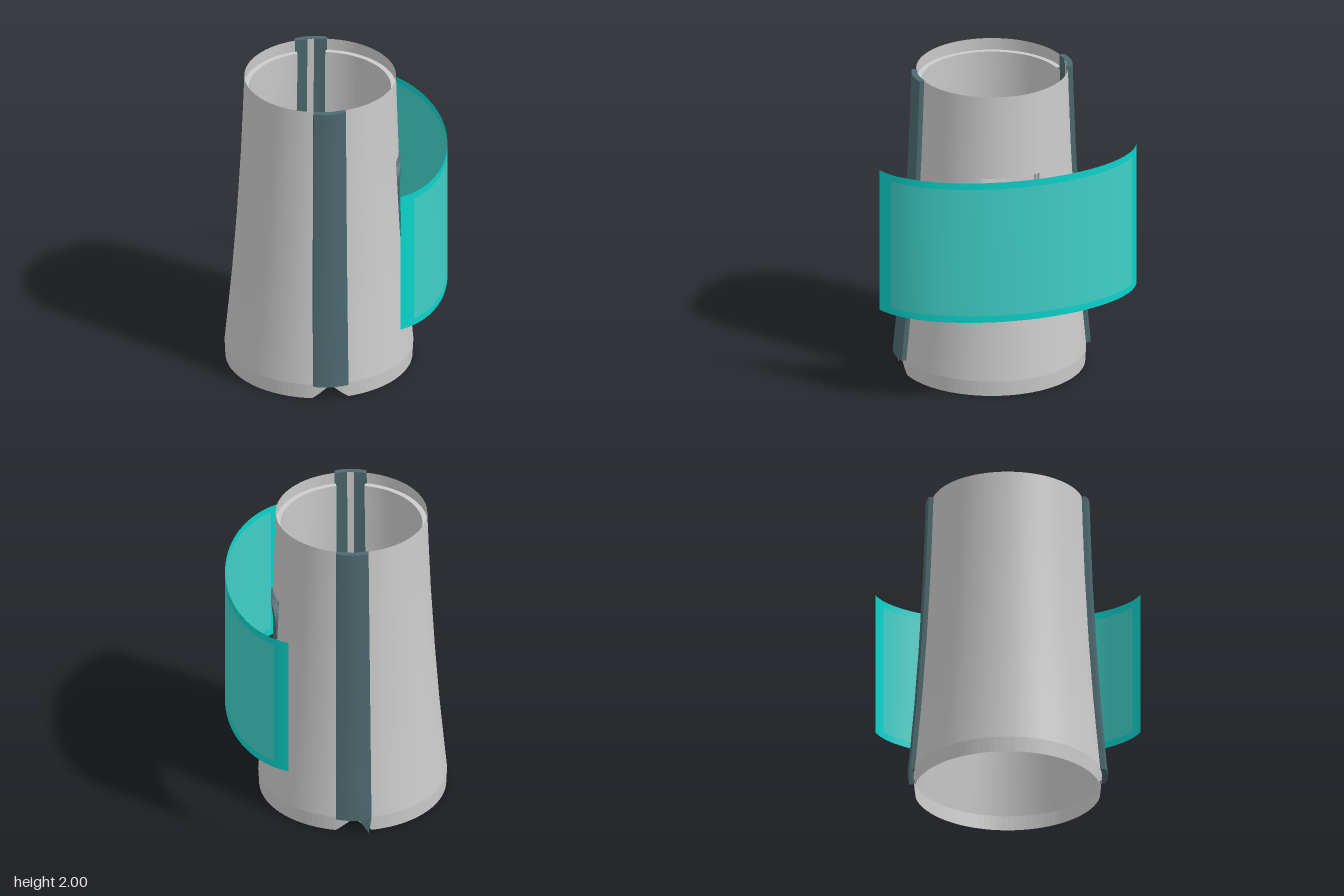
import * as THREE from 'three';
import { toCreasedNormals } from 'three/addons/utils/BufferGeometryUtils.js';

const SEG = 96; // steps around the sleeve
const STEP = (Math.PI * 2) / SEG;
const ROWS = [0.1, 0.35, 0.6, 0.75, 1, 1.25, 1.45, 1.75, 2];

// Outer radius and axis offset of the tapering sleeve
const KEYS = [[0, 0.59], [0.1, 0.595], [0.35, 0.572], [0.6, 0.55], [1, 0.522], [1.5, 0.495], [2, 0.478]];
function radius(y) {
  for (let i = 1; i < KEYS.length; i++) {
    const [y0, r0] = KEYS[i - 1], [y1, r1] = KEYS[i];
    if (y <= y1) return r0 + ((r1 - r0) * (y - y0)) / (y1 - y0);
  }
  return 0.478;
}
const axisX = (y) => -0.105 + 0.004 * y;
const onSleeve = (a, y, offset = 0) => {
  const r = radius(y) + offset;
  return [axisX(y) + r * Math.sin(a), y, r * Math.cos(a)];
};

// Grid surface from a point rule; cells can be left out
function grid(name, nu, nv, point, color = 0xcccccc, skip = () => false, crease = 0.6) {
  const pos = [], index = [];
  for (let j = 0; j <= nv; j++) for (let i = 0; i <= nu; i++) pos.push(...point(i, j));
  for (let j = 0; j < nv; j++) for (let i = 0; i < nu; i++) {
    if (skip(i, j)) continue;
    const a = j * (nu + 1) + i, b = a + nu + 1;
    index.push(a, a + 1, b + 1, a, b + 1, b);
  }
  const geo = new THREE.BufferGeometry();
  geo.setAttribute('position', new THREE.Float32BufferAttribute(pos, 3));
  geo.setIndex(index);
  return mesh(name, toCreasedNormals(geo, crease), color);
}

function mesh(name, geo, color) {
  const m = new THREE.Mesh(geo, new THREE.MeshStandardMaterial({ color, side: THREE.DoubleSide }));
  m.name = name;
  return m;
}

// Stadium outline for the side fitting
function stadium(PathType, w, h) {
  const p = new PathType();
  p.absarc(0, h - w, w, 0, Math.PI, false);
  p.absarc(0, w - h, w, Math.PI, Math.PI * 2, false);
  p.closePath();
  return p;
}

export function createModel() {
  const model = new THREE.Group();
  const SLATE = 0x4d6a70;

  // Side opening, in grid cells
  const inOpening = (i, j) => Math.abs(i + 0.5 - SEG / 4) < 6 && j >= 3 && j < 6;
  // Channels behind the two strips
  const inChannel = (i) => {
    const k = (i + 0.5) % (SEG / 2);
    return k < 3 || k > SEG / 2 - 3;
  };

  model.add(grid('outerSleeve', SEG, ROWS.length - 1,
    (i, j) => onSleeve(i * STEP, ROWS[j]), 0xcccccc, inOpening));

  // Bottom band with a pointed notch under each strip
  model.add(grid('bottomBand', SEG, 1, (i, j) => {
    const a = i * STEP;
    const p = onSleeve(a, j ? 0.1 : 0);
    if (!j) p[1] = Math.max(0, 0.095 * (1 - Math.abs(0.59 * Math.sin(a)) / 0.11));
    return p;
  }, 0xcccccc, undefined, 0.03));

  // Liner, ending in a ledge just under the top edge
  const linerRows = [...ROWS.slice(0, 8), 1.92, 1.92];
  model.add(grid('liner', SEG, linerRows.length - 1,
    (i, j) => onSleeve(i * STEP, linerRows[j], j === linerRows.length - 1 ? 0 : -0.033),
    0xcccccc, (i, j) => inOpening(i, j) || inChannel(i)));

  // Raised strips down front and back
  const stripRows = [0.1, ...ROWS, 2];
  const section = [[-1, 0.03], [-0.5, 0.036], [0, 0.038], [0.5, 0.036], [1, 0.03], [1, -0.004], [0, 0.003], [-1, -0.004], [-1, 0.03]];
  for (const side of [1, -1]) {
    model.add(grid(side > 0 ? 'frontStrip' : 'backStrip', section.length - 1, stripRows.length - 1, (i, j) => {
      const y = stripRows[j], r = radius(y);
      if (j === 0 || j === stripRows.length - 1) return [axisX(y), y, side * (r + 0.012)];
      const x = section[i][0] * (0.112 - 0.005 * y);
      return [axisX(y) + x, y, side * (Math.sqrt(r * r - x * x) + section[i][1])];
    }, SLATE, undefined, 0.4));
  }

  // Small point hanging from the back strip
  const spike = new THREE.Shape([[-0.215, 0.11], [-0.2, 0], [-0.13, 0.11]].map((p) => new THREE.Vector2(...p)));
  const spikeGeo = new THREE.ExtrudeGeometry(spike, { depth: 0.025, bevelEnabled: false });
  spikeGeo.translate(0, 0, -0.62);
  model.add(mesh('stripPoint', spikeGeo, SLATE));

  // Recess filling the side opening: rim, floor edge, floor centre
  const half = 6 * STEP;
  const rim = [];
  for (let k = 0; k < 12; k++) rim.push([-half + k * STEP, 0.75]);
  for (const y of [0.75, 1, 1.25]) rim.push([half, y]);
  for (let k = 0; k < 12; k++) rim.push([half - k * STEP, 1.45]);
  for (const y of [1.45, 1.25, 1, 0.75]) rim.push([-half, y]);
  model.add(grid('sideRecess', rim.length - 1, 2, (i, j) => {
    const p = onSleeve(Math.PI / 2 + rim[i][0], rim[i][1]);
    if (j === 1) return [0.29, 1.1 + (p[1] - 1.1) * 0.92, p[2] * 0.92];
    return j ? [0.32, 1.1, 0] : p;
  }));

  // Curved fitting ring in the recess
  const ring = stadium(THREE.Shape, 0.17, 0.31);
  ring.holes.push(stadium(THREE.Path, 0.12, 0.26));
  const ringGeo = new THREE.ExtrudeGeometry(ring, { depth: 0.035, bevelEnabled: false, curveSegments: 16 });
  ringGeo.rotateY(Math.PI / 2);
  ringGeo.translate(0.375, 1.1, 0);
  const rp = ringGeo.attributes.position;
  for (let i = 0; i < rp.count; i++) rp.setX(i, rp.getX(i) - rp.getZ(i) ** 2);
  model.add(mesh('sideFitting', toCreasedNormals(ringGeo, 0.6), SLATE));

  // Curved floating panel: centre sheet and a brighter border
  const END = 1.348, INNER = 1.159;
  const angles = [-END];
  for (let k = 0; k <= 32; k++) angles.push(-INNER + (2 * INNER * k) / 32);
  angles.push(END);
  // split the end cells so the curve stays smooth
  angles.splice(1, 0, -(END + INNER) / 2);
  angles.splice(angles.length - 1, 0, (END + INNER) / 2);
  const heights = [0.6, 0.645, 1.51, 1.555];
  const n = angles.length - 1;
  const isCentre = (i, j) => j === 1 && i >= 2 && i < n - 2;
  const panelPoint = (i, j) => [0.2 + 0.5 * Math.cos(angles[i]), heights[j], 0.856 * Math.sin(angles[i])];
  const panel = new THREE.Group();
  panel.name = 'displayPanel';
  panel.add(
    grid('panelSheet', n, 3, panelPoint, 0x40d0c8, (i, j) => !isCentre(i, j)),
    grid('panelBorder', n, 3, panelPoint, 0x0cd4cc, isCentre),
  );
  model.add(panel);

  return model;
}
